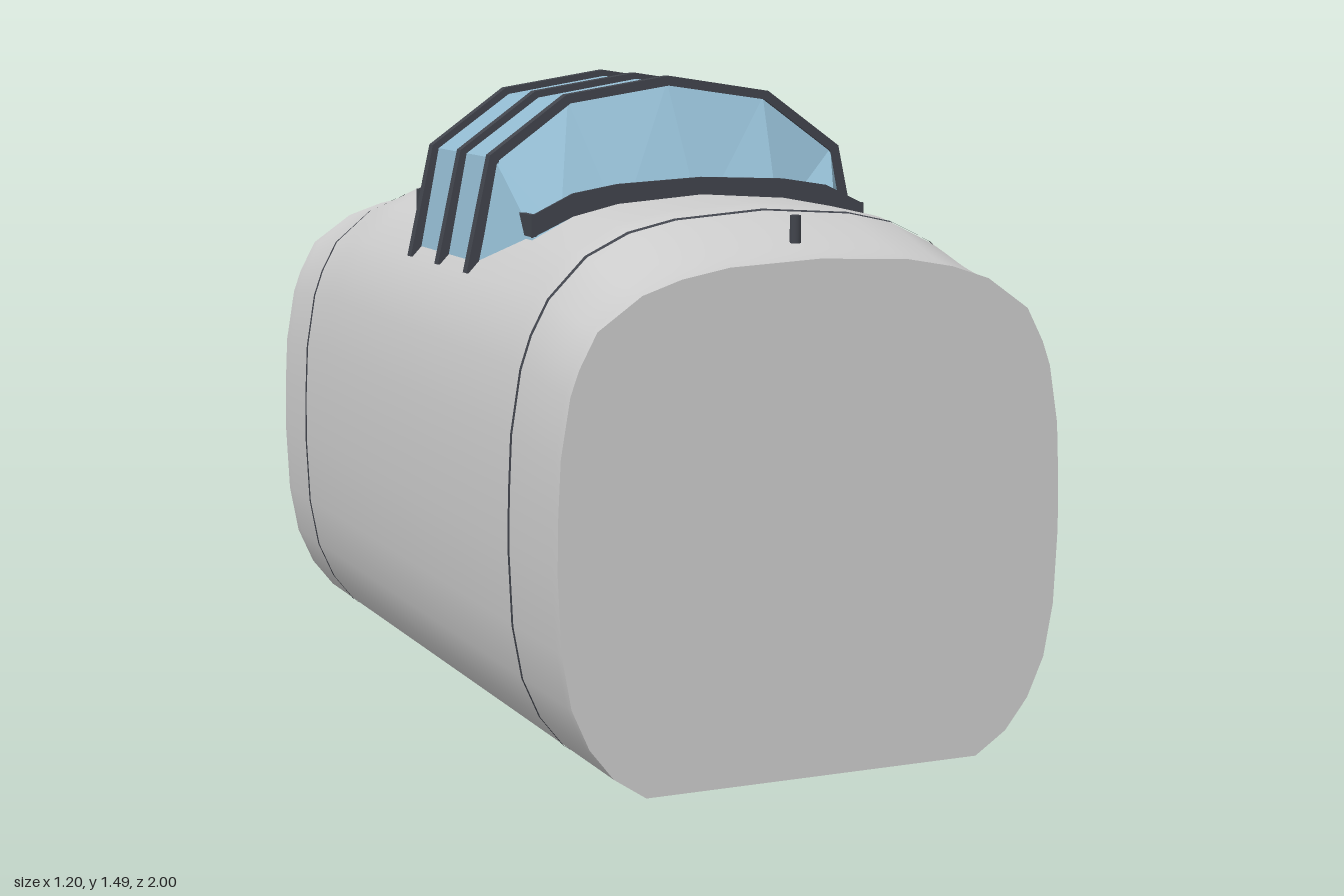
import * as THREE from 'three';
import { toCreasedNormals } from 'three/addons/utils/BufferGeometryUtils.js';

// Half cross-sections, from the flat bottom up to the crown
const MID = [[0.4, 0], [0.475, 0.05], [0.53, 0.12], [0.57, 0.21], [0.592, 0.33], [0.6, 0.5], [0.598, 0.62],
  [0.592, 0.75], [0.57, 0.89], [0.545, 0.965], [0.505, 1.04], [0.42, 1.13], [0.32, 1.18], [0.21, 1.205], [0, 1.22]];
const END_TOP = [[0.592, 0.74], [0.57, 0.87], [0.55, 0.925], [0.51, 1.0], [0.41, 1.07], [0.32, 1.1], [0.21, 1.12], [0, 1.13]];
const END = [...MID.slice(0, 7), ...END_TOP];
const OPENING = 0.4; // half length of the cockpit opening

// Mirror a half section into a full one, running from +x over the top to -x
const mirror = (half) => [...half, ...half.slice(0, -1).reverse().map(([x, y]) => [-x, y])];

// The crown slopes down smoothly towards both ends
function hullSection(z) {
  const t = z > 0 ? THREE.MathUtils.smoothstep(z, 0.64, 1) : THREE.MathUtils.smoothstep(-z, 0.56, 1);
  return mirror(MID.map(([x, y], i) => [
    THREE.MathUtils.lerp(x, END[i][0], t), THREE.MathUtils.lerp(y, END[i][1], t)]));
}

// Skin a row of sections [{z, pts}], with z descending; skip(quad centre) leaves holes
function loft(sections, closed, skip = () => false) {
  const pos = [];
  for (let s = 0; s < sections.length - 1; s++) {
    const A = sections[s], B = sections[s + 1], n = A.pts.length;
    for (let i = 0; i < (closed ? n : n - 1); i++) {
      const j = (i + 1) % n;
      const a = [...A.pts[i], A.z], b = [...A.pts[j], A.z], c = [...B.pts[j], B.z], d = [...B.pts[i], B.z];
      if (skip((a[0] + b[0]) / 2, (a[1] + b[1]) / 2, (A.z + B.z) / 2)) continue;
      pos.push(...a, ...d, ...b, ...b, ...d, ...c);
    }
  }
  const g = new THREE.BufferGeometry();
  g.setAttribute('position', new THREE.Float32BufferAttribute(pos, 3));
  g.computeVertexNormals();
  return g;
}

const toShape = (pts) => new THREE.Shape(pts.map(([x, y]) => new THREE.Vector2(x, y)));

// Flat arch between an outer and an inner half outline, centred on z
function arch(outer, inner, depth, z) {
  const g = new THREE.ExtrudeGeometry(toShape([...mirror(outer), ...mirror(inner).reverse()]),
    { depth, bevelEnabled: false });
  return g.translate(0, 0, z - depth / 2);
}

export function createModel() {
  const model = new THREE.Group();
  const grey = new THREE.MeshStandardMaterial({ color: 0xcccccc, side: THREE.DoubleSide });
  const dark = new THREE.MeshStandardMaterial({ color: 0x41444c, side: THREE.DoubleSide });
  const glass = new THREE.MeshStandardMaterial({ color: 0x92bad0, side: THREE.DoubleSide, flatShading: true });
  const add = (name, geometry, material, parent = model) => {
    const mesh = new THREE.Mesh(geometry, material);
    mesh.name = name;
    parent.add(mesh);
    return mesh;
  };

  // Hull skin, open on top under the canopy
  const zs = [OPENING, 0, -OPENING];
  for (let i = 0; i <= 12; i++) zs.push(0.64 + 0.03 * i, -0.56 - (0.44 * i) / 12);
  const sections = zs.sort((a, b) => b - a).map((z) => ({ z, pts: hullSection(z) }));
  const skin = loft(sections, true, (x, y, z) => Math.abs(x) < 0.42 && y > 1 && Math.abs(z) < OPENING);
  add('hull', toCreasedNormals(skin, 0.5), grey);

  // Flat end caps
  for (const side of [1, -1]) {
    const cap = add(side > 0 ? 'frontCap' : 'backCap', new THREE.ShapeGeometry(toShape(hullSection(side))), grey);
    cap.position.z = side;
  }

  // Thin panel seams around the hull
  for (const [name, z] of [['frontSeam', 0.72], ['backSeam', -0.8]]) {
    const ring = [0.006, -0.006].map((dz) => ({
      z: z + dz,
      pts: hullSection(z + dz).map(([x, y]) => [x * 1.004, 0.6 + (y - 0.6) * (y > 0.6 ? 1.004 : 1.001)]),
    }));
    add(name, loft(ring, true), dark);
  }

  // Canopy glass: straight middle, ends sloping down into the opening
  const canopy = new THREE.Group();
  canopy.name = 'canopy';
  model.add(canopy);
  const tall = mirror([[0.487, 1.04], [0.435, 1.302], [0.252, 1.43], [0, 1.47]]);
  const low = mirror([[0.41, 1.13], [0.35, 1.145], [0.2, 1.155], [0, 1.16]]);
  add('canopyGlass', loft([{ z: 0.395, pts: low }, { z: 0.2, pts: tall },
    { z: -0.2, pts: tall }, { z: -0.395, pts: low }], false), glass, canopy);

  // Canopy ribs
  const ribOuter = [[0.51, 1.04], [0.45, 1.31], [0.26, 1.445], [0, 1.485]];
  const ribInner = [[0.485, 1.04], [0.428, 1.298], [0.25, 1.425], [0, 1.462]];
  for (const z of [0.2, 0, -0.2]) add('canopyRib', arch(ribOuter, ribInner, 0.026, z), dark, canopy);

  // Rim of the opening: thin arches at both ends and a plate at each corner
  const rimOuter = [[0.42, 1.185], [0.32, 1.232], [0.21, 1.25], [0, 1.26]];
  const rimInner = [[0.42, 1.135], [0.32, 1.18], [0.21, 1.205], [0, 1.218]];
  for (const end of [1, -1]) {
    add('rimArch', arch(rimOuter, rimInner, 0.007, end * 0.397), dark, canopy);
    for (const side of [1, -1]) {
      const plate = add('rimPlate', new THREE.BoxGeometry(0.012, 0.05, 0.18), dark, canopy);
      plate.position.set(side * 0.415, 1.162, end * 0.31);
    }
  }

  // Small stub antenna on the nose
  const antenna = add('antenna', new THREE.CylinderGeometry(0.012, 0.012, 0.06, 12), dark);
  antenna.position.set(0, 1.182, 0.88);

  return model;
}
